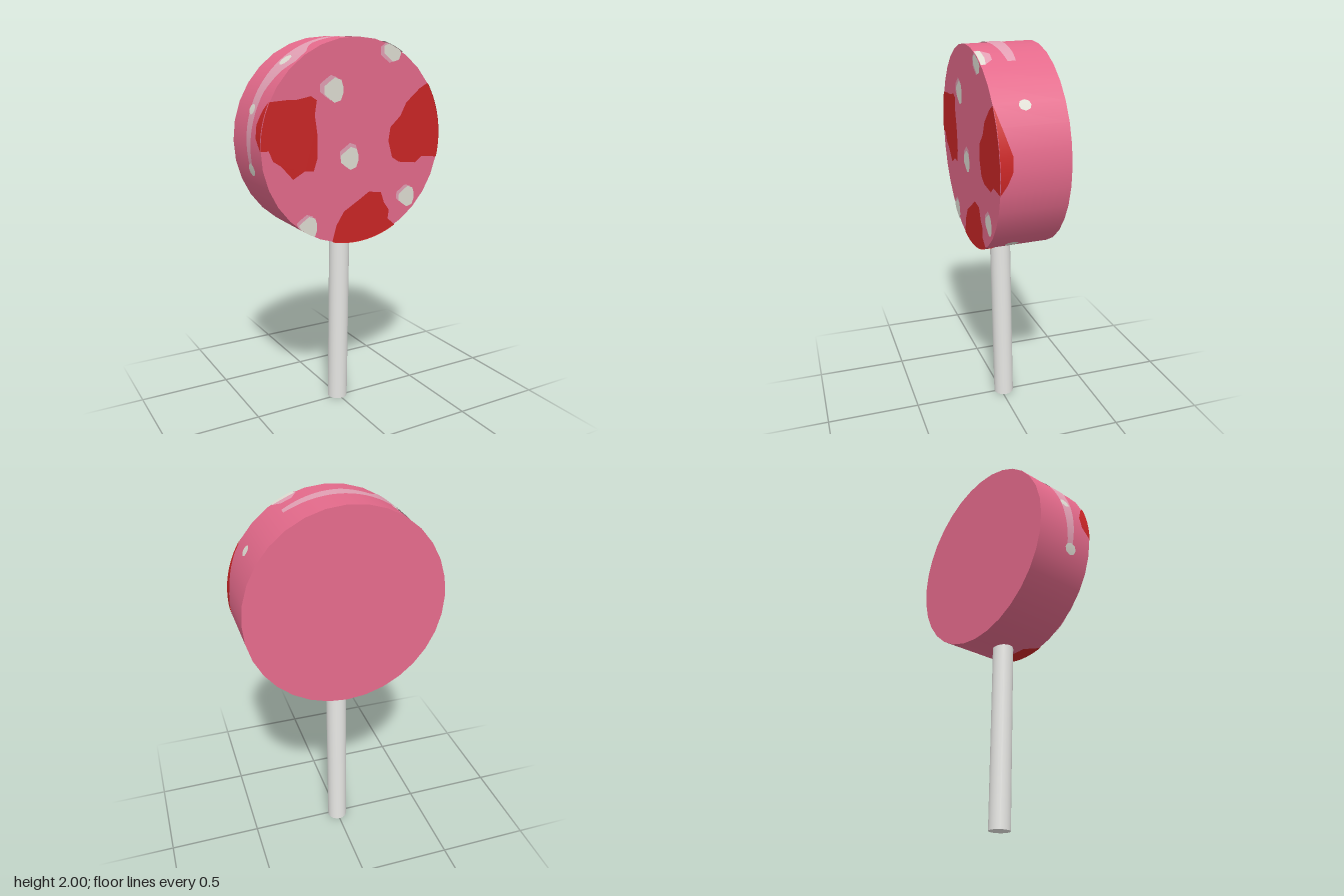
import * as THREE from 'three';

const R = 0.517, HALF = 0.173, SKIN = 0.002;
const rad = THREE.MathUtils.degToRad;

export function createModel() {
  const mat = (name, color, side = THREE.FrontSide) => {
    const m = new THREE.MeshStandardMaterial({ color, side });
    m.name = name;
    return m;
  };
  const pink = mat('candy pink', 0xe46a8b);
  const red = mat('berry red', 0xcb2626, THREE.DoubleSide);
  const pale = mat('pale pink', 0xe2a0b4, THREE.DoubleSide);
  const cream = mat('cream white', 0xdfddd3, THREE.DoubleSide);
  const white = mat('stick white', 0xe8e8e5);

  const root = new THREE.Group();
  root.name = 'lollipop';
  // Everything leans slightly forward
  const lean = new THREE.Group();
  lean.name = 'leaningLollipop';
  lean.position.set(0, 1.479, 0.001);
  lean.rotation.x = 0.024;
  root.add(lean);

  const add = (name, geo, material) => {
    const mesh = new THREE.Mesh(geo, material);
    mesh.name = name;
    lean.add(mesh);
    return mesh;
  };

  // Candy disc and stick
  const disc = new THREE.CylinderGeometry(R, R, HALF * 2, 32);
  disc.rotateX(Math.PI / 2);
  add('candyDisc', disc, pink);
  const stick = new THREE.CylinderGeometry(0.055, 0.055, 1.03, 20);
  stick.translate(0, -0.9625, 0.018);
  add('stick', stick, white);

  // Flat patch on the front face; points past the rim are pulled back to it
  const facePatch = (name, pts, material, layer = 1) => {
    const shape = new THREE.Shape(pts.map(([x, y]) => new THREE.Vector2(x, y).clampLength(0, R)));
    const geo = new THREE.ShapeGeometry(shape);
    geo.translate(0, 0, HALF + SKIN * layer);
    add(name, geo, material);
  };

  // Curved patch on the side wall from rows of [angle, back z, front z]
  const sidePatch = (name, rows, material, layer = 1) => {
    const pos = [], nor = [], idx = [];
    const r = R + SKIN * layer;
    const put = (a, z) => {
      pos.push(r * Math.cos(a), r * Math.sin(a), z);
      nor.push(Math.cos(a), Math.sin(a), 0);
    };
    rows.forEach((row, i) => {
      const prev = rows[Math.max(i - 1, 0)];
      const steps = i ? Math.max(1, Math.ceil((row[0] - prev[0]) / 4)) : 1;
      for (let s = 1; s <= steps; s++) {
        const [a, lo, hi] = row.map((v, k) => THREE.MathUtils.lerp(prev[k], v, s / steps));
        put(rad(a), lo);
        put(rad(a), hi);
      }
    });
    for (let k = 0; k + 3 < pos.length / 3; k += 2) idx.push(k, k + 2, k + 1, k + 1, k + 2, k + 3);
    const geo = new THREE.BufferGeometry();
    geo.setAttribute('position', new THREE.Float32BufferAttribute(pos, 3));
    geo.setAttribute('normal', new THREE.Float32BufferAttribute(nor, 3));
    geo.setIndex(idx);
    add(name, geo, material);
  };

  // Points along the rim between two angles
  const rim = (a0, a1) => Array.from({ length: 13 }, (_, i) => {
    const a = rad(a0 + (a1 - a0) * i / 12);
    return [R * Math.cos(a), R * Math.sin(a)];
  });

  // Red blotches on the face, wrapping over the edge
  facePatch('redBlotchRight', [
    [-0.386, 0.225], [-0.33, 0.225], [-0.254, 0.24], [-0.222, 0.22], [-0.233, 0.15], [-0.225, 0.1],
    [-0.217, 0.045], [-0.217, -0.06], [-0.238, -0.125], [-0.286, -0.12], [-0.35, -0.156],
    [-0.413, -0.087], [-0.455, -0.06], [-0.476, -0.01], ...rim(181, 155)], red);
  facePatch('redBlotchLeft', [
    [0.38, 0.262], [0.3, 0.193], [0.265, 0.125], [0.206, 0.07], [0.196, 0], [0.222, -0.087],
    [0.265, -0.114], [0.317, -0.12], [0.37, -0.125], [0.41, -0.093], ...rim(-11.5, 34)], red);
  facePatch('redBlotchBottom', [
    [-0.106, -0.415], [-0.063, -0.347], [0.026, -0.294], [0.085, -0.257], [0.159, -0.267],
    [0.18, -0.325], [0.212, -0.368], [0.206, -0.415], ...rim(299, 255.5)], red);
  const F = HALF;
  sidePatch('redEdgeRight', [[155, F, F], [160, 0.14, F], [168, 0.11, F], [175, 0.12, F], [181, F, F]], red, 1.5);
  sidePatch('redEdgeLeft', [[-11.5, F, F], [-6, 0.14, F], [0, 0.115, F], [8, 0.11, F], [15, 0.13, F], [25, 0.155, F], [34, F, F]], red, 1.5);
  sidePatch('redEdgeBottom', [[256, F, F], [262, 0.1, F], [275, 0.09, F], [288, 0.1, F], [299, F, F]], red, 1.5);

  // Pale sheen over the top and right of the side wall
  sidePatch('paleSheen', [
    [61, 0, 0.04], [68, -0.007, 0.045], [80, -0.01, 0.055], [95, -0.01, 0.068], [111, -0.01, 0.055],
    [115, -0.01, 0.08], [121, -0.01, 0.15], [129, -0.01, 0.165], [137, -0.01, 0.11],
    [150, -0.01, 0.07], [170, 0, 0.06], [195, 0.02, 0.05]], pale);

  // Cream sprinkles with a pale fringe on the face
  const blob = (cx, cy, r) => Array.from({ length: 10 }, (_, i) => {
    const a = i * Math.PI / 5 + 0.3, k = r * (i % 3 ? 1.04 : 0.86);
    return [cx + k * Math.cos(a), cy + k * Math.sin(a)];
  });
  [ // x, y, radius, fringe offset x, y
    [-0.125, 0.265, 0.058, -0.022, 0.012],
    [-0.03, -0.075, 0.056, -0.005, 0.02],
    [0.325, -0.305, 0.054, -0.015, 0.01],
    [0.21, 0.455, 0.056, -0.02, -0.005],
    [-0.265, -0.41, 0.056, -0.012, 0.012],
  ].forEach(([x, y, r, dx, dy]) => {
    facePatch('sprinkleFringe', blob(x + dx, y + dy, r), pale, 1);
    facePatch('sprinkle', blob(x, y, r), cream, 2);
  });

  // Sprinkles on the side wall
  const sideSpot = (name, angle, z, r, material, layer) => {
    const rows = [-1, -0.7, 0, 0.7, 1].map((t) => {
      const h = r * Math.sqrt(1 - t * t) + 0.004;
      return [angle + THREE.MathUtils.radToDeg(t * r / R), z - h, Math.min(z + h, F)];
    });
    sidePatch(name, rows, material, layer);
  };
  [[129, 0.05, 0.035], [160.5, 0.02, 0.026], [193, 0.04, 0.032], [33, 0.025, 0.026], [-56, 0.05, 0.032]]
    .forEach(([a, z, r]) => sideSpot('sideSprinkle', a, z, r, cream, 2));
  sidePatch('sprinkleEdgeFringe', [[59, 0.155, F], [63, 0.11, F], [69, 0.105, F], [73, 0.15, F]], pale);
  sidePatch('sprinkleEdge', [[59, 0.15, F], [65, 0.142, F], [72, 0.145, F]], cream, 2);

  return root;
}
